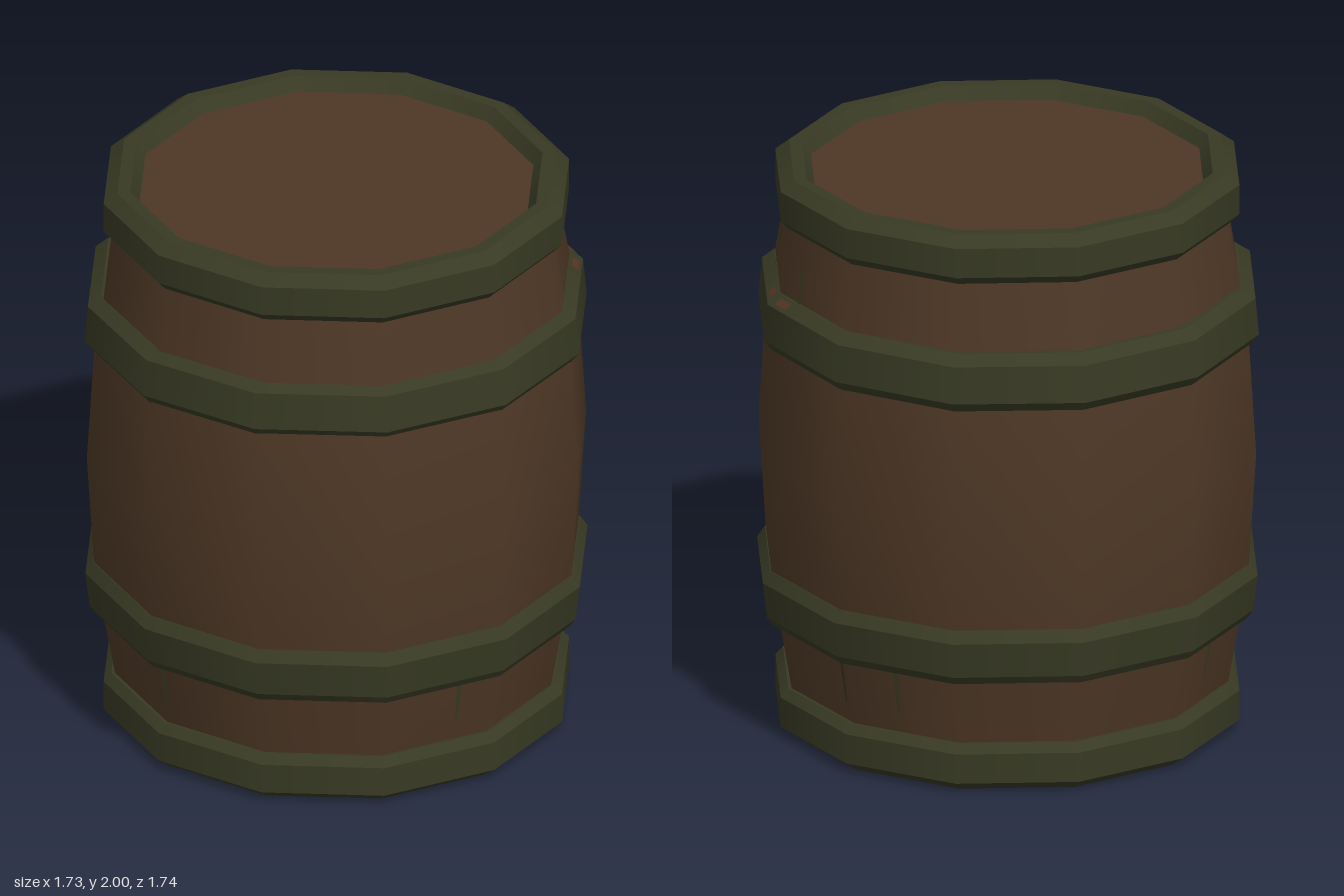
import * as THREE from 'three';
import { mergeGeometries } from 'three/addons/utils/BufferGeometryUtils.js';

const SIDES = 12;
const RAD = Math.PI / 180;
const v2 = ([r, y]) => new THREE.Vector2(r, y);

// Hoop with hard bevel edges but smooth shading around: one lathe strip per profile edge
function hoop(name, profile, material) {
  const strips = [];
  for (let i = 0; i < profile.length - 1; i++) {
    strips.push(new THREE.LatheGeometry([v2(profile[i]), v2(profile[i + 1])], SIDES));
  }
  const mesh = new THREE.Mesh(mergeGeometries(strips), material);
  mesh.name = name;
  return mesh;
}

// Mirror a profile top to bottom, keeping its direction
const flip = (profile) => profile.map(([r, y]) => [r, 2 - y]).reverse();

// Point on a twelve-sided ring of corner radius r, at an azimuth measured from +z towards +x
function ringPoint(az, r, y) {
  const local = ((az % 30) + 30) % 30 - 15;
  const d = r * Math.cos(15 * RAD) / Math.cos(local * RAD) + 0.004;
  return [d * Math.sin(az * RAD), y, d * Math.cos(az * RAD)];
}

// Thin mark lying on a side face
function mark(name, az, halfWidth, [r0, y0], [r1, y1], taper, material) {
  const geo = new THREE.BufferGeometry();
  const pts = [
    ...ringPoint(az - halfWidth * taper, r0, y0), ...ringPoint(az + halfWidth * taper, r0, y0),
    ...ringPoint(az + halfWidth, r1, y1), ...ringPoint(az - halfWidth, r1, y1),
  ];
  geo.setAttribute('position', new THREE.Float32BufferAttribute(pts, 3));
  geo.setIndex([0, 1, 2, 0, 2, 3]);
  geo.computeVertexNormals();
  const mesh = new THREE.Mesh(geo, material);
  mesh.name = name;
  return mesh;
}

export function createModel() {
  const wood = new THREE.MeshStandardMaterial({ color: 0x4e3826 });
  wood.name = 'brown wood';
  const iron = new THREE.MeshStandardMaterial({ color: 0x383a24 });
  iron.name = 'dark green iron';
  const rust = new THREE.MeshStandardMaterial({ color: 0x553322 });
  rust.name = 'rust';

  const barrel = new THREE.Group();
  barrel.name = 'barrel';

  // Bulging wooden body
  const half = [[0.74, 0.04], [0.765, 0.18], [0.803, 0.4], [0.835, 0.6]];
  const bodyProfile = [...half, [0.86, 1], ...flip(half)];
  const body = new THREE.Mesh(new THREE.LatheGeometry(bodyProfile.map(v2), SIDES), wood);
  body.name = 'body';
  barrel.add(body);

  // Sunken wooden lid and base
  for (const [name, y, turn] of [['lid', 1.955, -1], ['base', 0.045, 1]]) {
    const disc = new THREE.Mesh(new THREE.CircleGeometry(0.69, SIDES), wood);
    disc.name = name;
    disc.position.y = y;
    disc.rotation.x = turn * Math.PI / 2;
    barrel.add(disc);
  }

  // End rims, wrapping over the barrel's edge
  const rim = [
    [0.74, 1.83], [0.775, 1.83], [0.802, 1.86], [0.802, 1.965], [0.755, 2],
    [0.71, 2], [0.675, 1.95],
  ];
  barrel.add(hoop('topRim', rim, iron), hoop('bottomRim', flip(rim), iron));

  // Middle hoops, leaning inwards with the body; the upper one sits slightly crooked
  const lower = [[0.79, 0.405], [0.83, 0.405], [0.85, 0.435], [0.865, 0.56], [0.838, 0.6], [0.8, 0.6]];
  barrel.add(hoop('lowerHoop', lower, iron));
  const upperHoop = new THREE.Group();
  upperHoop.name = 'upperHoopGroup';
  upperHoop.add(hoop('upperHoop', [
    [0.8, 1.405], [0.838, 1.405], [0.865, 1.44], [0.853, 1.57], [0.808, 1.602], [0.77, 1.602],
  ], iron));
  for (const az of [85.5, 94]) {
    upperHoop.add(mark('rustSpot', az, 2.2, [0.84, 1.581], [0.816, 1.597], 1, rust));
  }
  upperHoop.position.y = -0.015;
  upperHoop.rotation.x = -0.01;
  upperHoop.children.forEach((part) => { part.position.y = 0.015; });
  barrel.add(upperHoop);

  // Narrow green streaks on the wood
  for (const az of [20.5, -59, 118, 133.5, 224]) {
    barrel.add(mark('lowerStreak', az, 0.6, [0.776, 0.245], [0.803, 0.4], 0.6, iron));
  }
  for (const az of [69.5, 98.5]) {
    barrel.add(mark('upperStreak', az, 0.6, [0.803, 1.6], [0.78, 1.73], 0.7, iron));
  }
  return barrel;
}
